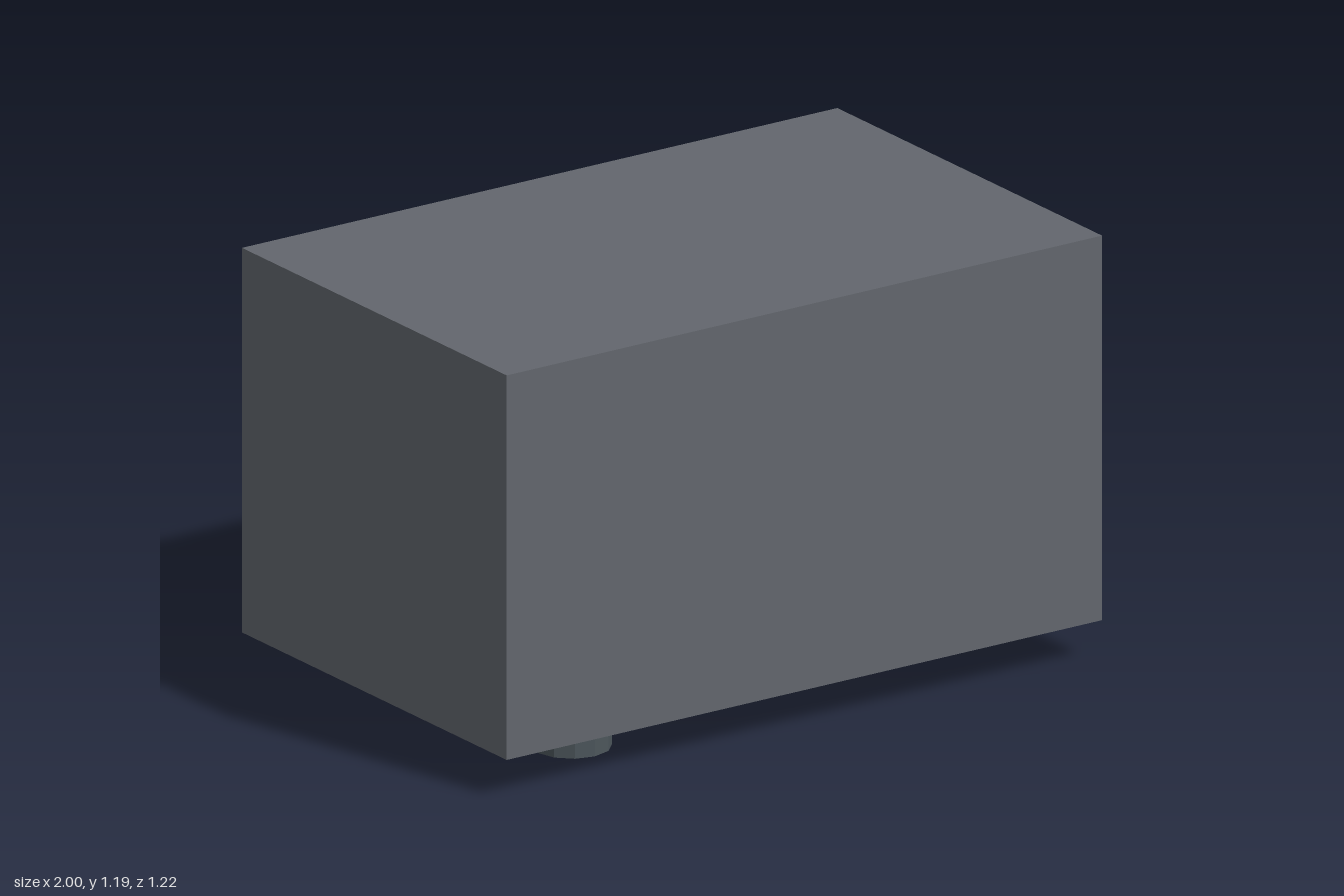
import * as THREE from 'three';

const material = (color) => new THREE.MeshStandardMaterial({ color, flatShading: true });

export function createModel() {
  const model = new THREE.Group();
  model.name = 'boxDevice';

  const add = (name, geometry, mat, x, y, z) => {
    const mesh = new THREE.Mesh(geometry, mat);
    mesh.name = name;
    mesh.position.set(x, y, z);
    model.add(mesh);
    return mesh;
  };

  // Main housing
  add('housing', new THREE.BoxGeometry(1.915, 1.077, 1.22), material(0x62666d), -0.0425, 0.6485, 0);

  // Round disc on the +x end, slightly sunk into the housing
  const disc = new THREE.CylinderGeometry(0.43, 0.43, 0.105, 24).rotateZ(-Math.PI / 2);
  add('endDisc', disc, material(0x4a636b), 0.9475, 0.6485, 0);

  // Row of three short feet near the -x end
  const foot = new THREE.CylinderGeometry(0.1075, 0.1075, 0.13, 12);
  const footMaterial = material(0x4c565b);
  ['footBack', 'footMiddle', 'footFront'].forEach((name, i) => {
    add(name, foot, footMaterial, -0.617, 0.065, (i - 1) * 0.36);
  });

  return model;
}
